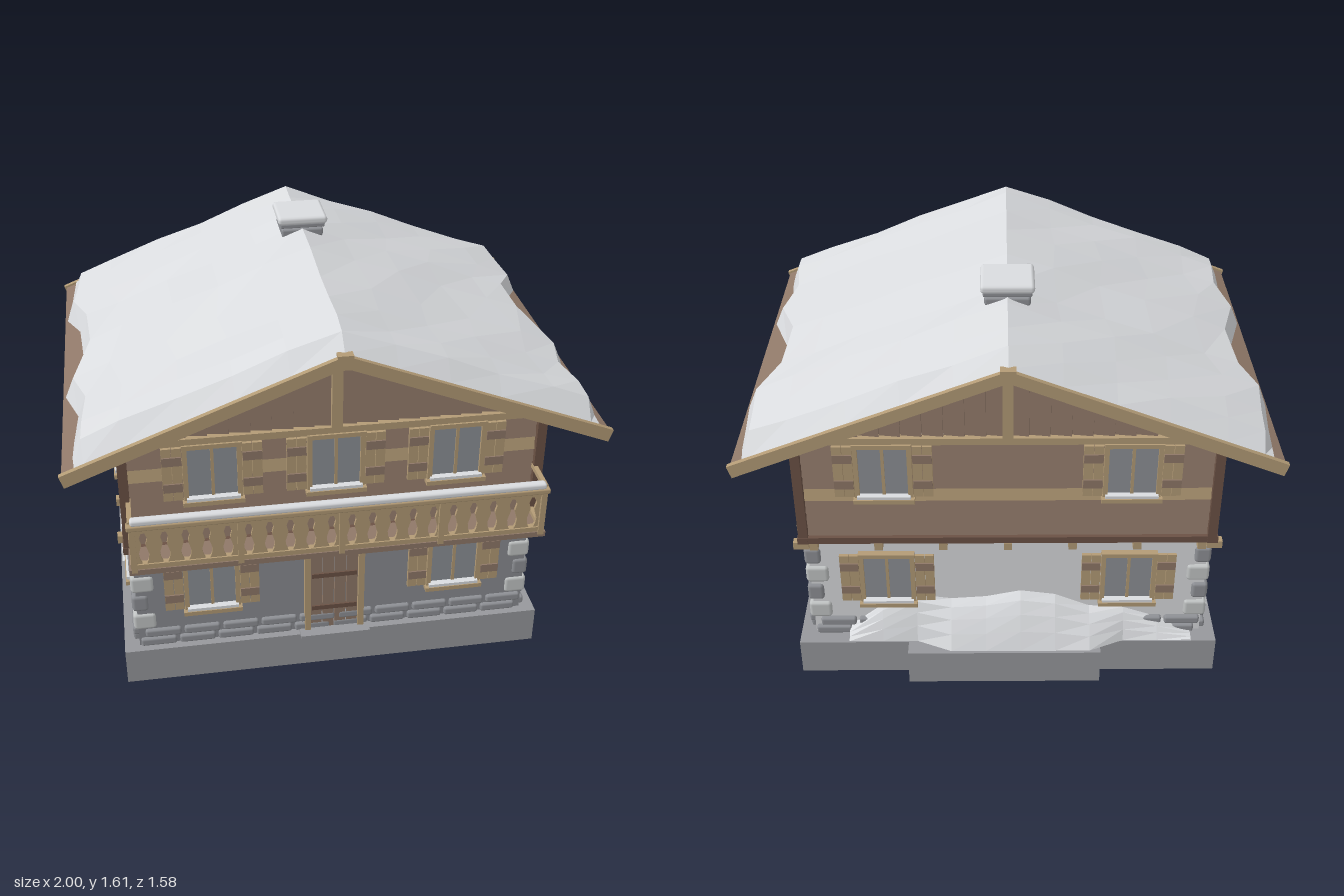
import * as THREE from 'three';
import { RoundedBoxGeometry } from 'three/addons/geometries/RoundedBoxGeometry.js';

const mat = (name, color, side = THREE.FrontSide) => {
  const m = new THREE.MeshStandardMaterial({ color, side });
  m.name = name;
  return m;
};

export function createModel() {
  const snow = mat('snow', 0xdadcdf, THREE.DoubleSide);
  const plaster = mat('plaster', 0xd9dadd);
  const greyWall = mat('grey wall', 0x8b8d92);
  const concrete = mat('concrete', 0x97989c, THREE.DoubleSide);
  const stone = mat('stone', 0x8f9196);
  const paleStone = mat('pale stone', 0xc3c6c6);
  const tan = mat('tan wood', 0xb39b76);
  const brown = mat('brown wood', 0x8f7868);
  const dark = mat('dark wood', 0x6b5245);
  const glass = mat('glass', 0x8d9196);

  const model = new THREE.Group();
  model.name = 'chalet';

  const add = (name, geo, m, parent = model) => {
    const mesh = new THREE.Mesh(geo, m);
    mesh.name = name;
    parent.add(mesh);
    return mesh;
  };
  // Box given by its extents on each axis
  const box = (name, m, [x0, x1], [y0, y1], [z0, z1], parent) => {
    const b = add(name, new THREE.BoxGeometry(x1 - x0, y1 - y0, z1 - z0), m, parent);
    b.position.set((x0 + x1) / 2, (y0 + y1) / 2, (z0 + z1) / 2);
    return b;
  };
  const block = (name, m, w, h, d, x, y, z, r = 0.012) => {
    const b = add(name, new RoundedBoxGeometry(w, h, d, 1, r), m);
    b.position.set(x, y, z);
    return b;
  };
  const side = (name, angle) => {
    const g = new THREE.Group();
    g.name = name;
    g.rotation.y = angle;
    model.add(g);
    return g;
  };
  const poly = (pts) => new THREE.Shape(pts.map(([x, y]) => new THREE.Vector2(x, y)));
  const extrude = (shape, depth) => new THREE.ExtrudeGeometry(shape, { depth, bevelEnabled: false });

  // Four faces, each with local +z pointing outward
  const front = side('frontFace', 0), back = side('backFace', Math.PI);
  const leftSide = side('leftFace', Math.PI / 2), rightSide = side('rightFace', -Math.PI / 2);

  // Hollow foundation, open below
  const openBox = (name, xr, yr, zr) => {
    const b = box(name, concrete, xr, yr, zr);
    const idx = Array.from(b.geometry.index.array);
    b.geometry.clearGroups();
    b.geometry.setIndex(idx.filter((_, i) => i < 18 || i >= 24));
  };
  openBox('foundation', [-0.84, 0.84], [0, 0.155], [-0.67, 0.64]);
  openBox('foundationStep', [-0.37, 0.4], [0, 0.154], [-0.735, -0.665]);
  box('doorStep', concrete, [-0.14, 0.14], [0.153, 0.167], [0.59, 0.668]);

  // Walls
  box('groundWalls', plaster, [-0.78, 0.78], [0.157, 0.64], [-0.6, 0.6]);
  box('groundFrontWall', greyWall, [-0.78, 0.78], [0.157, 0.64], [0.6, 0.605]);
  box('upperWalls', plaster, [-0.785, 0.785], [0.64, 1.12], [-0.6, 0.6]);
  const gable = add('gableCore', extrude(poly([[-0.785, 1.1], [0.785, 1.1], [0.785, 1.15], [0, 1.455], [-0.785, 1.15]]), 1.2), brown);
  gable.position.z = -0.6;

  // Stone courses round the foot of the walls
  const course = (parent, half, z) => {
    for (let r = 0; r < 2; r++) {
      const n = Math.round(half / 0.075);
      const w = (2 * half) / n;
      for (let i = 0; i < n; i++) {
        const x = -half + (i + 0.5) * w + (r ? 0.01 : -0.01);
        const s = block('courseStone', stone, w - 0.012, 0.036, 0.035, x, 0.176 + r * 0.042, z, 0.01);
        parent.add(s);
      }
    }
  };
  course(front, 0.77, 0.603);
  course(back, 0.77, 0.603);
  course(leftSide, 0.59, 0.785);
  course(rightSide, 0.59, 0.785);

  // Corner stones in alternating sizes and colours
  for (const sx of [-1, 1]) for (const sz of [-1, 1]) for (let i = 0; i < 4; i++) {
    const pale = i % 2 === 0;
    const w = pale ? 0.09 : 0.065, d = pale ? 0.07 : 0.09;
    block('cornerStone', pale ? paleStone : stone, w, 0.075, d,
      sx * (0.797 - w / 2), 0.277 + i * 0.091, sz * (0.614 - d / 2), 0.014);
  }

  // Horizontal lapped boards on the upper front and back
  for (const face of [front, back]) for (let i = 0; i < 8; i++) {
    const b = add('lappedBoard', new THREE.BoxGeometry(1.56, 0.058, 0.012), i === 3 || i === 5 ? tan : brown, face);
    if (i === 3 && face === front) b.material = brown;
    if (i === 5 && face === back) b.material = brown;
    b.position.set(0, 0.685 + i * 0.056, 0.605);
    b.rotation.x = -0.17;
  }

  // Vertical lapped gable boards, tie beam and king post
  const roofUnder = (x) => 1.46 - 0.39 * Math.abs(x);
  for (const face of [front, back]) {
    const w = 0.0785;
    for (let i = 0; i < 20; i++) {
      const x0 = -0.785 + i * w, x1 = x0 + w;
      const g = extrude(poly([[0, 1.1], [w, 1.1], [w, roofUnder(x1)], [0, roofUnder(x0)]]), 0.006);
      g.rotateY(-0.15);
      add('gableBoard', g, brown, face).position.set(x0, 0, 0.601);
    }
    box('tieBeam', tan, [-0.79, 0.79], [1.09, 1.118], [0.59, 0.632], face);
    box('kingPost', tan, [-0.02, 0.02], [1.118, 1.47], [0.59, 0.64], face);
  }

  // Corner posts, floor beams and joist ends
  for (const sx of [-1, 1]) {
    for (const sz of [-1, 1]) {
      const x = sx * 0.787, z = sz * 0.615;
      box('cornerPost', dark, [x - 0.018, x + 0.018], [0.63, 1.1], [z - 0.018, z + 0.018]);
    }
    box('sideBeam', dark, [sx * 0.79 - 0.02, sx * 0.79 + 0.02], [0.632, 0.66], [-0.635, 0.635]);
    for (const z of [-0.61, -0.5, -0.25, 0, 0.25, 0.5]) {
      box('joistEnd', tan, [sx * 0.8 - 0.03, sx * 0.8 + 0.03], [0.6, 0.632], [z - 0.016, z + 0.016]);
    }
  }
  for (const sz of [-1, 1]) box('crossBeam', dark, [-0.8, 0.8], [0.632, 0.66], [sz * 0.612 - 0.02, sz * 0.612 + 0.02]);
  for (const x of [-0.75, -0.5, -0.25, 0, 0.25, 0.5, 0.75]) {
    box('backJoistEnd', tan, [x - 0.016, x + 0.016], [0.6, 0.632], [0.58, 0.633], back);
  }

  // Shuttered window centred at cx, sill at y, wall plane at z
  const windowAt = (face, cx, y, z) => {
    const g = new THREE.Group();
    g.name = 'window';
    g.position.set(cx, y, z);
    face.add(g);
    box('pane', glass, [-0.1, 0.1], [0.01, 0.24], [0, 0.008], g);
    for (const s of [-1, 1]) {
      box('frameSide', tan, [s * 0.1 - 0.009, s * 0.1 + 0.009], [0, 0.24], [0, 0.02], g);
      const c = s * 0.148;
      for (const k of [-1, 1]) {
        box('shutterBoard', tan, [c + k * 0.019 - 0.018, c + k * 0.019 + 0.018], [0.012, 0.238], [0, 0.014], g);
      }
      for (const by of [0.07, 0.185]) box('shutterBatten', brown, [c - 0.036, c + 0.036], [by - 0.018, by + 0.018], [0.01, 0.02], g);
    }
    box('mullion', tan, [-0.006, 0.006], [0, 0.24], [0, 0.014], g);
    box('lintel', tan, [-0.11, 0.11], [0.235, 0.253], [0, 0.028], g);
    box('sill', tan, [-0.115, 0.115], [-0.006, 0.012], [0, 0.038], g);
    box('sillSnow', snow, [-0.1, 0.1], [0.012, 0.024], [0.006, 0.034], g);
  };
  for (const s of [-1, 1]) {
    windowAt(front, s * 0.483, 0.317, 0.605);
    windowAt(back, s * 0.475, 0.317, 0.6);
    windowAt(back, s * 0.465, 0.84, 0.612);
    for (const face of [leftSide, rightSide]) {
      windowAt(face, s * 0.3, 0.317, 0.78);
      windowAt(face, s * 0.3, 0.835, 0.785);
    }
  }
  for (const x of [-0.46, 0, 0.46]) windowAt(front, x, 0.84, 0.612);

  // Plank door
  for (let i = 0; i < 4; i++) box('doorPlank', brown, [-0.094 + i * 0.048, -0.05 + i * 0.048], [0.165, 0.53], [0.6, 0.618]);
  for (const y of [0.27, 0.43]) box('doorBar', dark, [-0.09, 0.09], [y - 0.01, y + 0.01], [0.61, 0.624]);
  for (const s of [-1, 1]) box('doorJamb', tan, [s * 0.107 - 0.012, s * 0.107 + 0.012], [0.16, 0.54], [0.6, 0.632]);
  box('doorHead', dark, [-0.125, 0.125], [0.532, 0.555], [0.6, 0.638]);

  // Balcony floor, pierced parapet, posts, rails and braces
  box('balconyFloor', brown, [-0.79, 0.79], [0.637, 0.66], [0.6, 0.772]);
  const panel = poly([[-0.77, 0.66], [0.77, 0.66], [0.77, 0.84], [-0.77, 0.84]]);
  const vase = [[0.006, 0.675], [0.016, 0.7], [0.019, 0.725], [0.008, 0.765], [0.015, 0.795], [0.005, 0.822]];
  for (let s = 0; s < 4; s++) for (let i = 0; i < 5; i++) {
    const cx = -0.77 + s * 0.385 + 0.0385 + i * 0.077;
    const right = vase.map(([x, y]) => new THREE.Vector2(cx + x, y));
    const left = vase.map(([x, y]) => new THREE.Vector2(cx - x, y)).reverse();
    panel.holes.push(new THREE.Path([...right, ...left]));
  }
  add('balconyParapet', extrude(panel, 0.012), tan).position.z = 0.752;
  for (const y of [0.672, 0.832]) box('parapetRail', tan, [-0.78, 0.78], [y - 0.01, y + 0.01], [0.745, 0.77]);
  for (const x of [-0.77, -0.378, 0, 0.378, 0.77]) {
    box('balconyPost', tan, [x - 0.011, x + 0.011], [0.65, 0.85], [0.745, 0.776]);
    if (x === 0) continue;
    const brace = add('balconyBrace', new THREE.BoxGeometry(0.022, 0.025, 0.16), dark);
    brace.position.set(x * 0.97, 0.595, 0.672);
    brace.rotation.x = -0.48;
  }
  block('handrail', tan, 1.58, 0.022, 0.04, 0, 0.85, 0.762, 0.006);
  block('handrailSnow', snow, 1.55, 0.026, 0.036, 0, 0.872, 0.763, 0.01);
  for (const s of [-1, 1]) {
    for (const y of [0.67, 0.768, 0.86]) box('balconySideRail', tan, [s * 0.775 - 0.009, s * 0.775 + 0.009], [y - 0.009, y + 0.009], [0.6, 0.76]);
  }

  // Roof boards, barge boards, fascias and rafters
  const chevron = (x, top, t) => poly([[0, top], [x, top - 0.39 * x], [x - 0.015, top - 0.39 * x - t], [0, top - t],
    [-x + 0.015, top - 0.39 * x - t], [-x, top - 0.39 * x]]);
  add('roofBoards', extrude(chevron(0.99, 1.484, 0.028), 1.54), brown).position.z = -0.77;
  for (const z of [-0.785, 0.765]) add('bargeBoard', extrude(chevron(1, 1.493, 0.048), 0.02), tan).position.z = z;
  for (const s of [-1, 1]) {
    box('ridgeEnd', tan, [-0.028, 0.028], [1.44, 1.495], [s * 0.772 - 0.017, s * 0.772 + 0.017]);
    box('fascia', brown, [s * 0.982 - 0.01, s * 0.982 + 0.01], [1.06, 1.092], [-0.77, 0.77]);
    for (let i = 0; i < 7; i++) {
      const r = add('rafter', new THREE.BoxGeometry(0.26, 0.035, 0.025), dark);
      r.position.set(s * 0.86, 1.103, -0.72 + i * 0.24);
      r.rotation.z = -s * Math.atan(0.39);
    }
  }

  // Grid moved by a rule, with faceted normals
  const sheet = (name, nu, nv, rule) => {
    const g = new THREE.PlaneGeometry(1, 1, nu - 1, nv - 1);
    const p = g.attributes.position;
    for (let v = 0; v < nv; v++) for (let u = 0; u < nu; u++) p.setXYZ(v * nu + u, ...rule(u, v));
    const flat = g.toNonIndexed();
    flat.computeVertexNormals();
    return add(name, flat, snow);
  };

  // Uneven roof snow, thin at every edge
  const us = [-1, -0.965, -0.82, -0.6, -0.4, -0.2, 0, 0.2, 0.4, 0.6, 0.82, 0.965, 1];
  const zs = [-0.765, -0.7, -0.57, -0.4, -0.25, 0, 0.25, 0.43, 0.6, 0.7, 0.765];
  const edgeR = [0.945, 0.955, 0.965, 0.98, 0.9, 0.89, 0.975, 0.93, 0.95, 0.955, 0.95];
  const edgeL = [0.945, 0.95, 0.96, 0.98, 0.925, 0.91, 0.98, 0.93, 0.945, 0.95, 0.945];
  const ridge = [0, 0.055, 0.06, 0.063, 0.055, 0.068, 0.06, 0.056, 0.066, 0.06, 0];
  sheet('roofSnow', us.length, zs.length, (u, v) => {
    const x = us[u] * (us[u] < 0 ? edgeL[v] : edgeR[v]);
    const end = v === 0 || v === zs.length - 1, rim = Math.abs(us[u]) === 1;
    const t = end || rim ? 0.003 : ridge[v] + 0.012 * Math.abs(us[u]) + 0.006 * Math.sin(u * 2.3 + v * 1.7);
    return [x, 1.49 - 0.39 * Math.abs(x) + t, zs[v]];
  });

  // Snow drift along the back wall
  const driftH = [0.03, 0.14, 0.19, 0.17, 0.18, 0.21, 0.19, 0.13, 0.12, 0.07, 0.01];
  sheet('backDrift', 11, 5, (u, v) => {
    const k = v / 4, h = driftH[u];
    const depth = u > 2 && u < 8 ? 0.125 : 0.065;
    return [0.64 - u * 0.138, 0.156 + h * (1 - k ** 1.5), -0.6 - depth * k];
  });
  // Small drift beside the right wall
  sheet('sideDrift', 6, 3, (u, v) => [-0.775 - 0.03 * v, 0.157 + 0.06 * Math.sin(Math.PI * u / 5) * (1 - v / 2), -0.45 + u * 0.1]);

  // Chimney with a snow cap
  box('chimney', stone, [-0.08, 0.08], [1.4, 1.55], [-0.36, -0.2]);
  block('chimneyCollar', stone, 0.17, 0.035, 0.17, 0, 1.535, -0.28, 0.01);
  block('chimneySlab', stone, 0.18, 0.018, 0.18, 0, 1.567, -0.28, 0.005);
  block('chimneySnow', snow, 0.2, 0.034, 0.2, 0, 1.59, -0.28, 0.014);

  return model;
}
